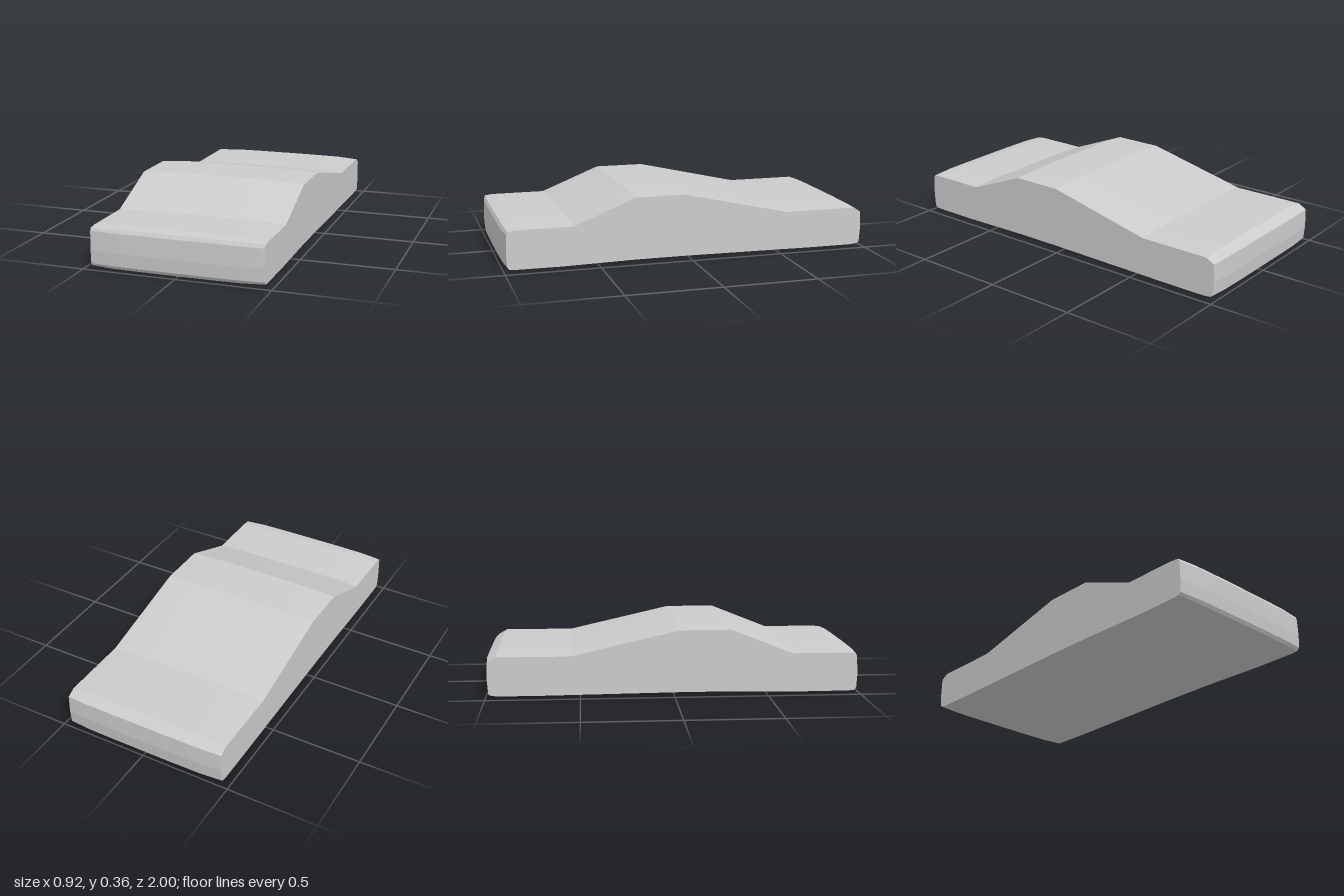
import * as THREE from 'three';

// Side profile from lower front, over the top, to the back and along the floor:
// z, y on the centre line, then the shift in z, y at the outer edges.
const PROFILE = [
  [0.985, 0.012, -0.012, 0.004], [0.996, 0.03, -0.012, 0], [1, 0.1, -0.012, 0],
  [0.996, 0.203, -0.012, -0.002], [0.985, 0.222, -0.008, -0.006], [0.93, 0.231, 0, -0.01],
  [0.635, 0.231, 0, -0.01], [0.305, 0.363, 0, -0.01], [0.03, 0.363, 0, -0.01],
  [-0.55, 0.231, 0, -0.01], [-0.94, 0.231, 0, -0.01], [-0.996, 0.2, 0.01, -0.004],
  [-1, 0.1, 0.011, 0], [-0.994, 0.025, 0.011, 0], [-0.98, 0.012, 0.01, 0.004],
  [-0.93, 0.006, 0, 0.006], [-0.7, 0.001, 0, 0.011], [0.03, 0, 0, 0.019],
  [0.305, 0, 0, 0.019], [0.7, 0.001, 0, 0.011], [0.94, 0.007, 0, 0.006],
];

// Stations across the width: x and how much of the edge shift applies.
const STATIONS = [[-0.46, 1], [-0.34, 0.2], [-0.18, 0.02], [0, 0], [0.18, 0.02], [0.34, 0.2], [0.46, 1]];

const pointAt = ([z, y, dz, dy], [x, t]) => [x, y + dy * t, z + dz * t];

function makeMesh(name, positions, index, material) {
  const geometry = new THREE.BufferGeometry();
  geometry.setAttribute('position', new THREE.Float32BufferAttribute(positions, 3));
  geometry.setIndex(index);
  geometry.computeVertexNormals();
  const mesh = new THREE.Mesh(geometry, material);
  mesh.name = name;
  return mesh;
}

// Outer skin: one strip per profile segment, smooth across the width, sharp between strips.
function makeShell(material) {
  const positions = [], index = [];
  PROFILE.forEach((row, i) => {
    const next = PROFILE[(i + 1) % PROFILE.length];
    const base = positions.length / 3;
    for (const station of STATIONS) positions.push(...pointAt(row, station), ...pointAt(next, station));
    for (let j = 0; j < STATIONS.length - 1; j++) {
      const a = base + 2 * j;
      index.push(a, a + 2, a + 1, a + 1, a + 2, a + 3);
    }
  });
  return makeMesh('bodyShell', positions, index, material);
}

// Flat flank closing the shell on one side.
function makeSide(name, station, material) {
  const points = PROFILE.map((row) => pointAt(row, station));
  const faces = THREE.ShapeUtils.triangulateShape(points.map(([, y, z]) => new THREE.Vector2(z, y)), []);
  const index = [];
  for (const [a, b, c] of faces) {
    // Wind each triangle so that it faces away from the body.
    const [, ay, az] = points[a], [, by, bz] = points[b], [, cy, cz] = points[c];
    const nx = (by - ay) * (cz - az) - (bz - az) * (cy - ay);
    index.push(...(nx * station[0] > 0 ? [a, b, c] : [a, c, b]));
  }
  return makeMesh(name, points.flat(), index, material);
}

export function createModel() {
  const group = new THREE.Group();
  group.name = 'carBody';
  const material = new THREE.MeshStandardMaterial({ color: 0xcccccc });
  group.add(
    makeShell(material),
    makeSide('rightSide', STATIONS[0], material),
    makeSide('leftSide', STATIONS[STATIONS.length - 1], material),
  );
  return group;
}
